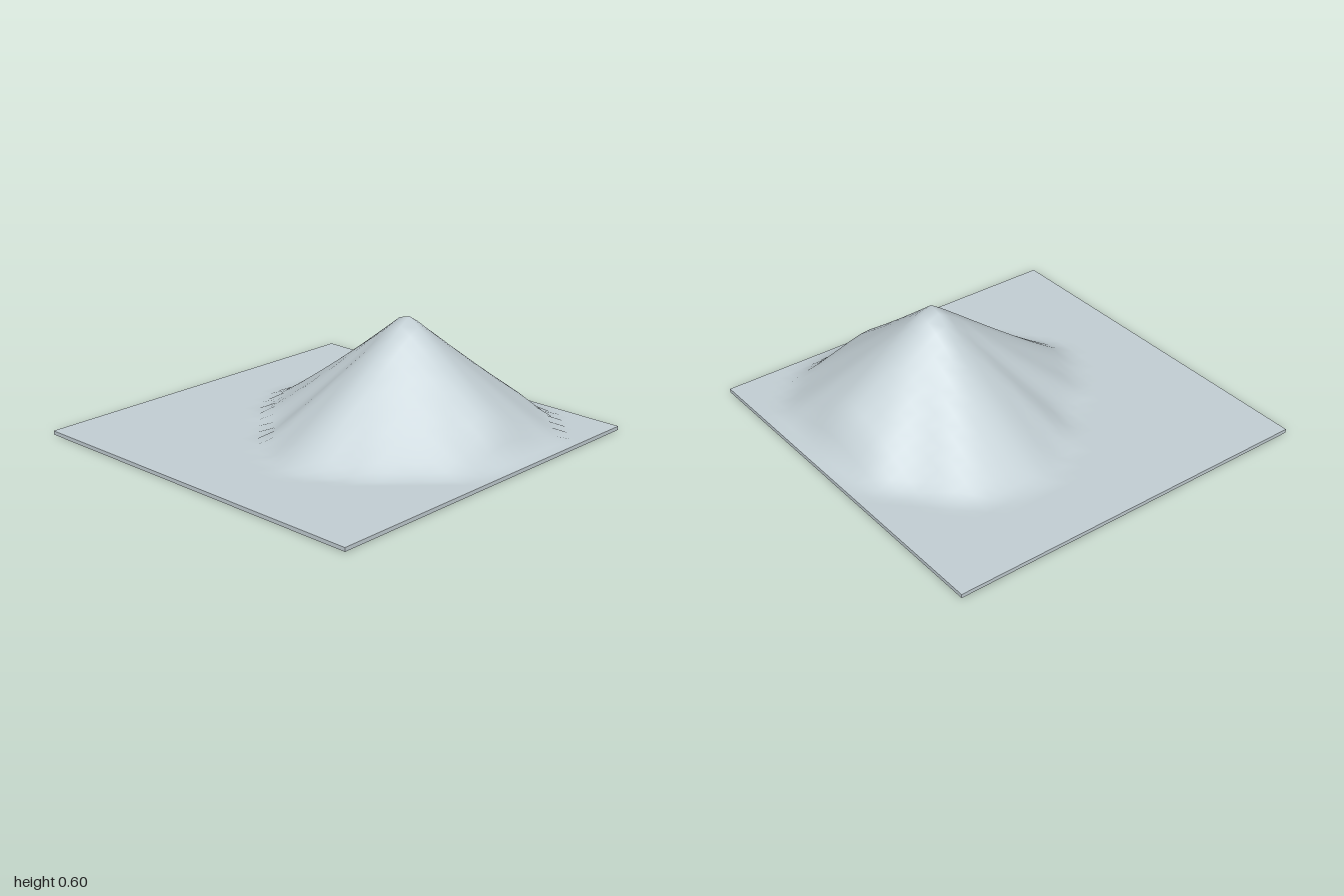
import * as THREE from 'three';

// Foot radius of the hill every 22.5 degrees, from +x turning towards +z
const FOOT = [0.85, 0.76, 0.71, 0.76, 0.84, 0.76, 0.68, 0.76, 0.84, 0.85, 0.76, 0.8, 0.85, 0.8, 0.77, 0.8];
const SLAB = 0.02, RISE = 0.6, PEAK_X = 0.23, PEAK_Z = -0.25;

function footRadius(angle) {
  const n = FOOT.length;
  const s = ((angle / (2 * Math.PI)) * n + n) % n;
  const i = Math.floor(s), t = s - i;
  const k = t * t * (3 - 2 * t);
  return FOOT[i % n] * (1 - k) + FOOT[(i + 1) % n] * k;
}

// The hill fades out close to the border of the slab
const edgeFade = (v) => THREE.MathUtils.smoothstep(1 - Math.abs(v), 0.02, 0.1875);

function height(x, z) {
  const dx = x - PEAK_X, dz = z - PEAK_Z;
  const t = Math.min(1, Math.hypot(dx, dz) / footRadius(Math.atan2(dz, dx)));
  return SLAB + RISE * Math.pow(1 - t, 1.1) * edgeFade(x) * edgeFade(z);
}

export function createModel() {
  const group = new THREE.Group();
  group.name = 'terrain';
  const stone = new THREE.MeshStandardMaterial({ color: 0xc3cfd4 });
  stone.name = 'pale grey stone';

  // Ground surface with the hill
  const ground = new THREE.PlaneGeometry(2, 2, 32, 32).rotateX(-Math.PI / 2);
  const p = ground.attributes.position;
  for (let i = 0; i < p.count; i++) p.setY(i, height(p.getX(i), p.getZ(i)));
  ground.computeVertexNormals();
  const hill = new THREE.Mesh(ground, stone);
  hill.name = 'hillSurface';

  // Slab sides and underside: a box without its top face
  const box = new THREE.BoxGeometry(2, SLAB, 2).translate(0, SLAB / 2, 0);
  const index = Array.from(box.index.array);
  index.splice(12, 6);
  box.setIndex(index);
  box.clearGroups();
  const slab = new THREE.Mesh(box, stone);
  slab.name = 'baseSlab';

  group.add(hill, slab);
  return group;
}
